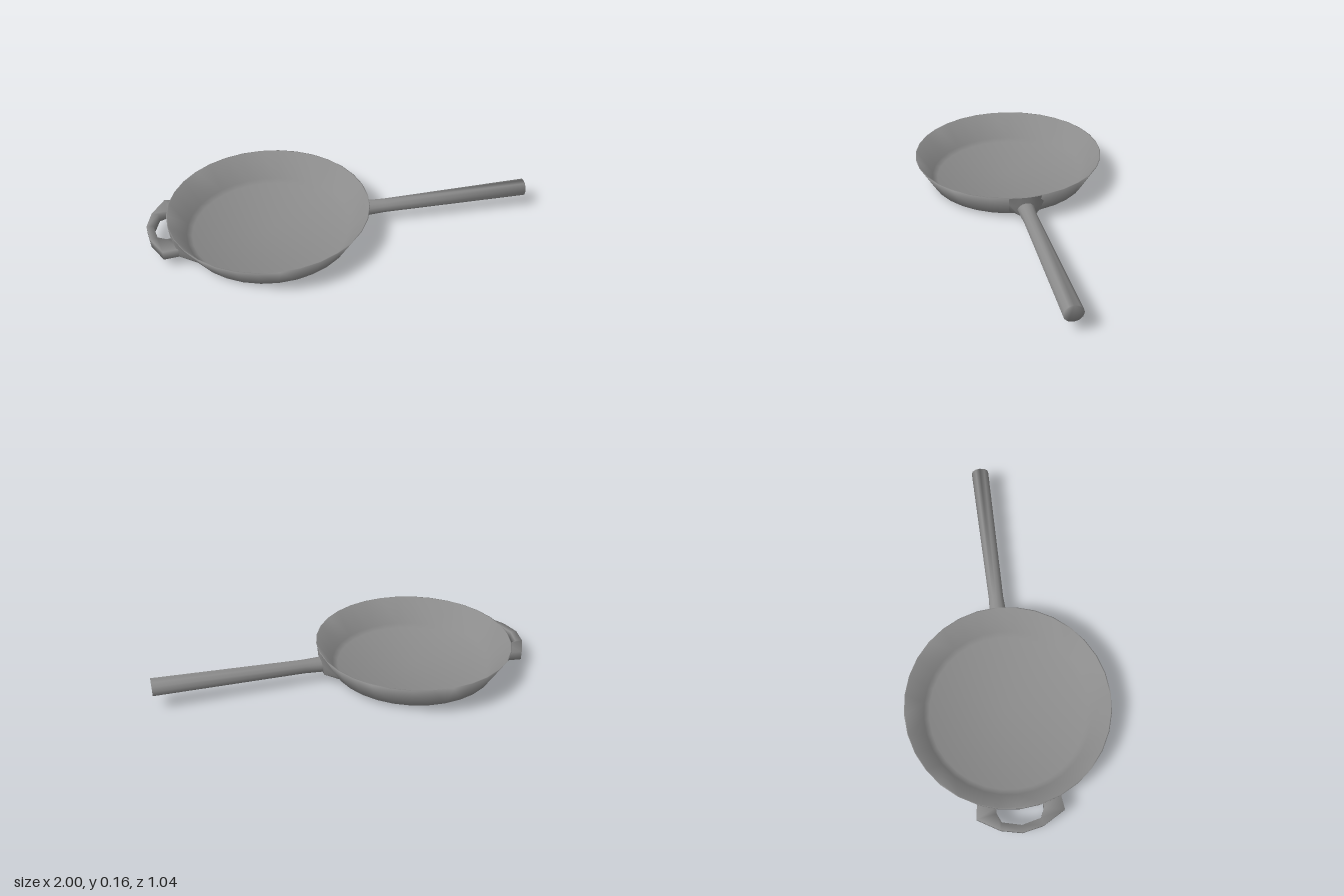
import * as THREE from 'three';
import { toCreasedNormals } from 'three/addons/utils/BufferGeometryUtils.js';

const PAN_X = -0.375;
const STEP = Math.PI / 16; // one side of the 32-sided bowl
const material = new THREE.MeshStandardMaterial({ color: 0x8b8b8b, side: THREE.DoubleSide });

// Radius of the sloping outer wall at a height
const wallRadius = y => y < 0.02 ? 0.41 + 1.5 * y : 0.44 + (y - 0.02) * 0.58;

// Skin through rings of equal point count; wrap joins each ring's ends, cap fills the last ring
function loft(rings, { wrap = true, cap = false } = {}) {
  const n = rings[0].length;
  const index = [];
  for (let i = 0; i < rings.length - 1; i++) {
    for (let j = 0; j < (wrap ? n : n - 1); j++) {
      const a = i * n + j, b = i * n + (j + 1) % n;
      index.push(a, b, b + n, a, b + n, a + n);
    }
  }
  if (cap) {
    const s = (rings.length - 1) * n;
    for (let j = 1; j < n - 1; j++) index.push(s, s + j, s + j + 1);
  }
  const g = new THREE.BufferGeometry();
  g.setAttribute('position', new THREE.Float32BufferAttribute(rings.flat(2), 3));
  g.setIndex(index);
  return g;
}

function addPart(group, name, geometry, crease) {
  const mesh = new THREE.Mesh(toCreasedNormals(geometry, crease), material);
  mesh.name = name;
  mesh.position.x = PAN_X;
  group.add(mesh);
  return mesh;
}

// Upright swelling of the wall where a handle joins; stations are [angle in steps, amount]
const mountProfile = [[0.418, 0.004], [0.46, 0.03], [0.51, 0.048], [0.515, 0.1], [0.519, 0.155]];
function mount(stations) {
  const rings = stations.map(([steps, amount]) => mountProfile.map(([out, y]) => {
    const r = THREE.MathUtils.lerp(wallRadius(y) - 0.002, out, amount);
    return [r * Math.cos(steps * STEP), y, r * Math.sin(steps * STEP)];
  }));
  return loft(rings, { wrap: false });
}

export function createModel() {
  const group = new THREE.Group();
  group.name = 'fryingPan';

  // Thin-walled bowl: outer profile up to the rim, then back down inside
  const profile = [
    [0, 0], [0.41, 0], [0.44, 0.02], [0.52, 0.157],
    [0.515, 0.157], [0.434, 0.024], [0.406, 0.008], [0, 0.008],
  ].map(p => new THREE.Vector2(...p));
  addPart(group, 'bowl', new THREE.LatheGeometry(profile, 32), 2.2);

  // Wall swellings under the long handle and behind the helper grip
  addPart(group, 'handleMount', mount([[-1, 0], [-0.45, 1], [0, 1], [0.45, 1], [1, 0]]), 1.2);
  const helperMount = mount([[-3, 0], [-2, 1], [-1, 1], [0, 1], [1, 1], [2, 1], [3, 0]]);
  addPart(group, 'helperMount', helperMount, 1.2).rotation.y = Math.PI;

  // Long handle: a round bar that rises and widens to a flat end
  const sides = 12;
  const bar = (x, y, z, ry, rz) => Array.from({ length: sides }, (_, j) => {
    const a = j / sides * Math.PI * 2;
    return [x - PAN_X, y + Math.cos(a) * ry, z + Math.sin(a) * rz];
  });
  addPart(group, 'handle', loft([
    bar(0.13, 0.082, 0.009, 0.039, 0.045),
    bar(0.23, 0.085, 0.008, 0.035, 0.039),
    bar(1, 0.108, 0.002, 0.044, 0.047),
  ], { cap: true }), 2);

  // Helper grip: a flat loop, each entry is [outer x, outer z, inner x, inner z]
  const half = [
    [-0.84, 0.205, -0.87, 0.115],
    [-0.915, 0.215, -0.9, 0.115],
    [-0.978, 0.105, -0.942, 0.095],
  ];
  const path = [
    ...half.map(([a, b, c, d]) => [a, -b, c, -d]),
    [-1, 0, -0.965, 0],
    ...half.slice().reverse(),
  ];
  const low = 0.053, high = 0.1;
  const section = ([ox, oz, ix, iz]) => [
    [ix, low, iz], [ix, high, iz], [ox, high, oz], [ox, low, oz],
  ].map(([x, y, z]) => [x - PAN_X, y, z]);
  addPart(group, 'helperGrip', loft(path.map(section)), 2);

  return group;
}
